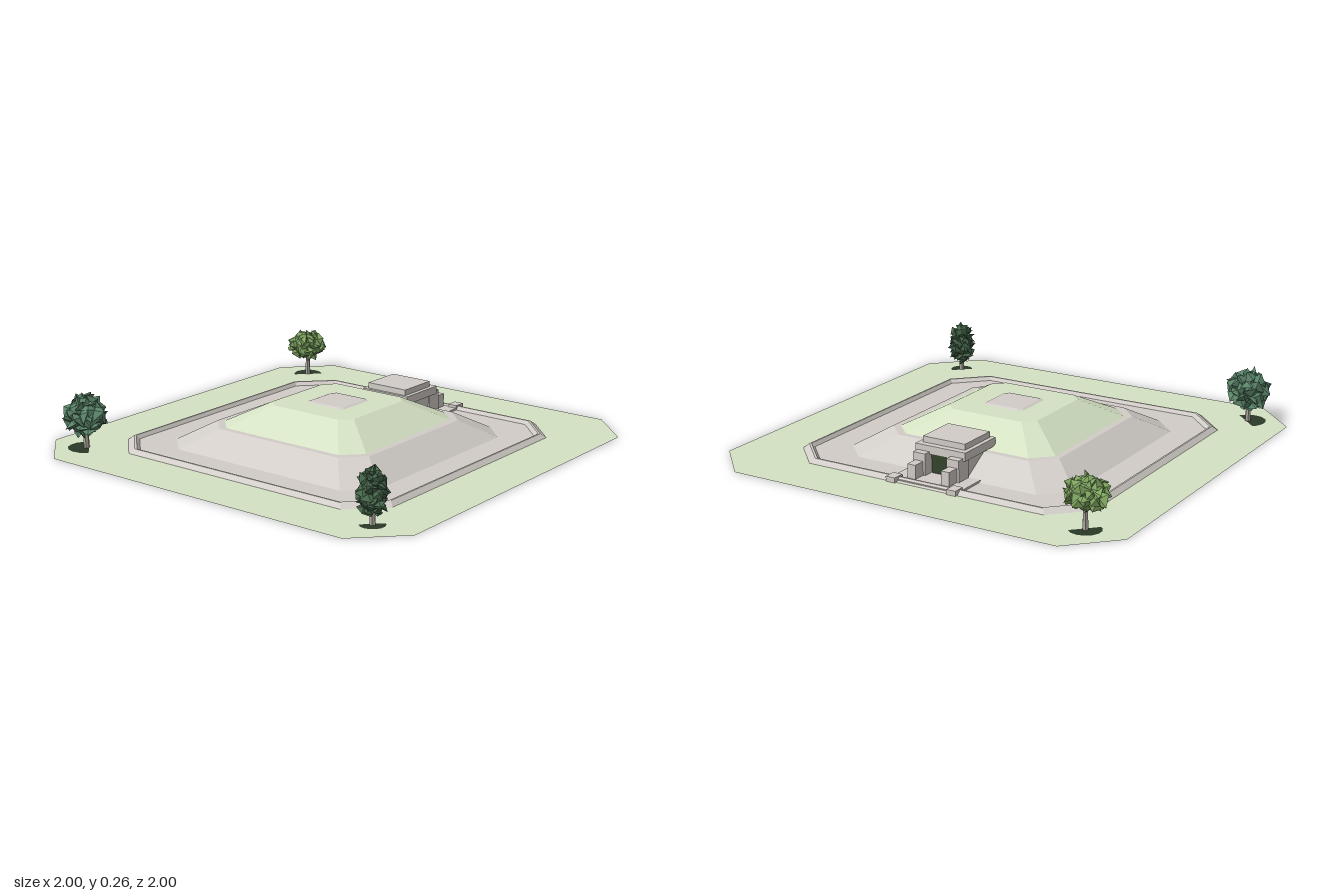
import * as THREE from 'three';
import { mergeGeometries } from 'three/addons/utils/BufferGeometryUtils.js';

const mat = (name, color, extra = {}) =>
  Object.assign(new THREE.MeshStandardMaterial({ color, flatShading: true, ...extra }), { name });

function seeded(seed) {
  return () => {
    seed = (seed * 16807) % 2147483647;
    return seed / 2147483647;
  };
}

// Square with cut corners: half size h, corner cut c, height y
function octagon(h, c, y) {
  const k = h - c;
  return [[h, -k], [h, k], [k, h], [-k, h], [-h, k], [-h, -k], [-k, -h], [k, -h]]
    .map(([x, z]) => new THREE.Vector3(x, y, z));
}

// Skin between cut-corner squares [h, c, y], listed from the outside bottom up, closed on top
function loft(levels) {
  const rings = levels.map((l) => octagon(...l));
  const tris = [];
  for (let r = 0; r + 1 < rings.length; r++) {
    for (let i = 0; i < 8; i++) {
      const j = (i + 1) % 8;
      const a = rings[r], b = rings[r + 1];
      tris.push(a[i], b[i], a[j], a[j], b[i], b[j]);
    }
  }
  const top = rings[rings.length - 1];
  const mid = new THREE.Vector3(0, top[0].y, 0);
  for (let i = 0; i < 8; i++) tris.push(mid, top[(i + 1) % 8], top[i]);
  const g = new THREE.BufferGeometry().setFromPoints(tris);
  g.computeVertexNormals();
  return g;
}

// Angular leaf plates spread over an ellipsoid around a core, narrowing upwards by taper
function crownGeometry(rx, ry, rz, count, leaf, taper, seed) {
  const rand = seeded(seed);
  const parts = [];
  for (let i = 0; i < count; i++) {
    const v = 1 - (2 * (i + 0.5)) / count;
    const a = i * 2.39996;
    const reach = 0.8 + 0.2 * rand();
    const s = Math.sqrt(1 - v * v) * (1 - taper * v) * reach;
    const size = leaf * (0.8 + 0.4 * rand());
    const g = new THREE.OctahedronGeometry(size, 0);
    g.scale(1, 0.4, 0.9);
    g.rotateX((rand() - 0.5) * 2.4);
    g.rotateZ((rand() - 0.5) * 2.4);
    g.rotateY(rand() * 6.28);
    g.translate(Math.cos(a) * s * (rx - leaf * 0.6), v * reach * (ry - leaf * 0.4), Math.sin(a) * s * (rz - leaf * 0.6));
    parts.push(g);
  }
  parts.push(new THREE.IcosahedronGeometry(1, 0).scale(rx * 0.66, ry * 0.74, rz * 0.66));
  return mergeGeometries(parts);
}

export function createModel() {
  const model = new THREE.Group();
  model.name = 'moundWithEntrance';

  const grass = mat('grass', 0xd5e2c4, { side: THREE.DoubleSide });
  const stone = mat('stone', 0xd2cdc8, { side: THREE.DoubleSide });
  const doorDark = mat('doorDark', 0x34442b);
  const soil = mat('soil', 0x2a3a27, { side: THREE.DoubleSide });
  const bark = mat('bark', 0xa9a49c);
  const leafLight = mat('leafLight', 0x7da35f);
  const leafBlue = mat('leafBlue', 0x5a8468);
  const leafDark = mat('leafDark', 0x47684c);

  const add = (name, geometry, material, parent = model) => {
    const m = new THREE.Mesh(geometry, material);
    m.name = name;
    parent.add(m);
    return m;
  };
  // Box given by its limits on each axis
  const block = (name, x0, x1, y0, y1, z0, z1, material, parent) => {
    const g = new THREE.BoxGeometry(x1 - x0, y1 - y0, z1 - z0);
    g.translate((x0 + x1) / 2, (y0 + y1) / 2, (z0 + z1) / 2);
    return add(name, g, material, parent);
  };

  // Flat lawn with an opening for the courtyard
  const outline = (h, c) => octagon(h, c, 0).map((p) => new THREE.Vector2(p.x, p.z));
  const lawnShape = new THREE.Shape(outline(1, 0.2));
  lawnShape.holes.push(new THREE.Path(outline(0.743, 0.149)));
  const lawn = new THREE.ShapeGeometry(lawnShape);
  lawn.rotateX(-Math.PI / 2);
  add('lawn', lawn, grass).position.y = 0.0015;

  // Courtyard floor with its raised rim, a folded sheet
  add('courtyard', loft([
    [0.745, 0.15, 0], [0.722, 0.145, 0.021], [0.714, 0.143, 0.021], [0.702, 0.14, 0.004],
  ]), stone);

  // Stepped mound
  add('lowerMound', loft([[0.57, 0.115, 0.004], [0.43, 0.095, 0.088]]), stone);
  add('upperMound', loft([[0.402, 0.085, 0.0875], [0.23, 0.05, 0.179]]), grass);
  add('summitSlab', loft([[0.108, 0.02, 0.178], [0.092, 0.016, 0.184]]), stone);

  // Entrance building on the left flank
  const entrance = new THREE.Group();
  entrance.name = 'entrance';
  model.add(entrance);
  block('forecourt', 0.56, 0.735, 0.003, 0.013, -0.175, 0.175, stone, entrance);
  block('chamber', 0.4, 0.585, 0.003, 0.1, -0.11, 0.11, stone, entrance);
  block('doorway', 0.584, 0.59, 0.013, 0.1, -0.052, 0.052, doorDark, entrance);
  block('roofSlab', 0.36, 0.603, 0.1, 0.138, -0.127, 0.127, stone, entrance);
  block('roofCap', 0.375, 0.573, 0.138, 0.165, -0.107, 0.107, stone, entrance);
  for (const s of [-1, 1]) {
    const mirrored = (name, x0, x1, y1, a, b) =>
      block(name, x0, x1, 0.003, y1, Math.min(s * a, s * b), Math.max(s * a, s * b), stone, entrance);
    mirrored('doorPier', 0.56, 0.637, 0.111, 0.055, 0.116);
    mirrored('steppedPier', 0.637, 0.696, 0.076, 0.065, 0.106);
    mirrored('cornerBlock', 0.7, 0.757, 0.026, 0.13, 0.176);
  }

  // Trees in three corners
  const tree = (name, x, z, trunkHeight, soilRadius, crown, crownY, leaf) => {
    const t = new THREE.Group();
    t.name = name;
    t.position.set(x, 0, z);
    model.add(t);
    // Soil patch tipped up towards the corner, so it dips through the lawn
    const bed = new THREE.CircleGeometry(soilRadius, 14);
    bed.rotateX(-Math.PI / 2);
    bed.rotateX(-0.015 * Math.sign(z));
    bed.rotateZ(0.015 * Math.sign(x));
    add('soilBed', bed, soil, t).position.y = 0.0017;
    const trunk = new THREE.CylinderGeometry(0.009, 0.014, trunkHeight, 6);
    trunk.translate(0, trunkHeight / 2, 0);
    add('trunk', trunk, bark, t);
    for (let i = 0; i < 3; i++) {
      const branch = new THREE.CylinderGeometry(0.004, 0.006, 0.06, 5);
      branch.translate(0, 0.03, 0);
      branch.rotateZ(0.7);
      branch.rotateY(i * 2.1);
      branch.translate(0, trunkHeight * 0.6, 0);
      add('branch', branch, bark, t);
    }
    add('crown', crown, leaf, t).position.y = crownY;
  };
  tree('spreadingTree', 0.79, -0.81, 0.13, 0.07,
    crownGeometry(0.105, 0.07, 0.098, 56, 0.036, 0, 11), 0.157, leafLight);
  tree('broadTree', -0.795, -0.805, 0.13, 0.085,
    crownGeometry(0.098, 0.1, 0.112, 56, 0.042, 0.1, 29), 0.155, leafBlue);
  tree('columnTree', -0.805, 0.8, 0.12, 0.055,
    crownGeometry(0.072, 0.11, 0.066, 56, 0.032, 0.25, 53), 0.14, leafDark);

  return model;
}
